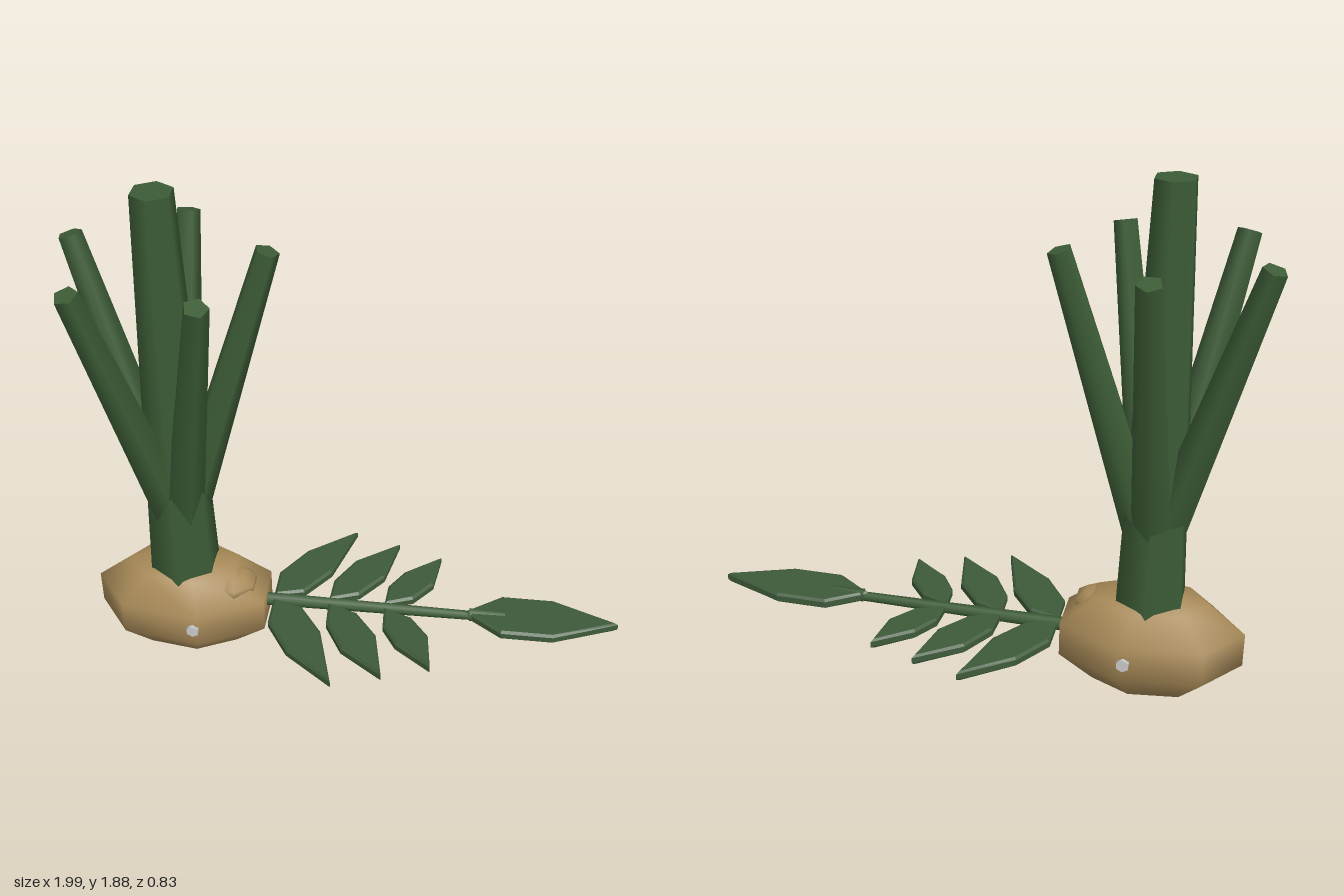
import * as THREE from 'three';

const mat = (color) => new THREE.MeshStandardMaterial({ color });

export function createModel() {
  const group = new THREE.Group();
  const brown = mat(0xa88a58), green = mat(0x3c5c36), leafGreen = mat(0x3e5a3a), grey = mat(0xcccccc);
  const CX = -0.62; // axis of bulb and stem

  const add = (name, geometry, material, x = 0, y = 0, z = 0) => {
    const mesh = new THREE.Mesh(geometry, material);
    mesh.name = name;
    mesh.position.set(x, y, z);
    group.add(mesh);
    return mesh;
  };

  // Tapered rod between two points
  const rod = (name, a, b, ra, rb, sides, material, spin = 0) => {
    const dir = b.clone().sub(a);
    const geo = new THREE.CylinderGeometry(rb, ra, dir.length(), sides).rotateY(spin);
    const mesh = add(name, geo, material);
    mesh.position.copy(a).add(b).multiplyScalar(0.5);
    mesh.quaternion.setFromUnitVectors(new THREE.Vector3(0, 1, 0), dir.normalize());
    return mesh;
  };

  // Bulb body with a small lump near its tail end
  add('bulb', new THREE.SphereGeometry(1, 7, 5).scale(0.357, 0.207, 0.22), brown, CX, 0.208, 0);
  add('bulbLump', new THREE.SphereGeometry(1, 7, 5).scale(0.1, 0.055, 0.09), brown, -0.44, 0.315, 0.03);

  // Eyes on both sides
  for (const s of [1, -1]) {
    add(s > 0 ? 'frontEye' : 'backEye',
      new THREE.CylinderGeometry(0.024, 0.024, 0.04, 6).rotateX(Math.PI / 2), grey, -0.56, 0.215, s * 0.195);
  }

  // Upright stem
  rod('stem', new THREE.Vector3(CX, 0.3, 0), new THREE.Vector3(CX, 1.885, 0), 0.134, 0.073, 6, green);

  // Five stalks fanning out of the stem
  for (let i = 0; i < 5; i++) {
    const a = THREE.MathUtils.degToRad(-14.5 + 72 * i);
    const c = Math.cos(a), s = Math.sin(a);
    rod('stalk', new THREE.Vector3(CX, 0.53, 0), new THREE.Vector3(CX + c * 0.352, 1.653, s * 0.352),
      0.078, 0.043, 5, green, Math.PI / 2 - a);
  }

  // Tail stem
  rod('tailStem', new THREE.Vector3(-0.38, 0.215, 0), new THREE.Vector3(0.5, 0.216, 0), 0.026, 0.017, 6, green);

  // Flat bevelled leaf outlined in the ground plane
  const leaf = (name, points, y) => {
    const shape = new THREE.Shape(points.map(([x, z]) => new THREE.Vector2(x, z)));
    const geo = new THREE.ExtrudeGeometry(shape, {
      depth: 0.022, bevelEnabled: true, bevelThickness: 0.008, bevelSize: 0.01, bevelOffset: -0.01, bevelSegments: 1,
    });
    geo.translate(0, 0, -0.011).rotateX(Math.PI / 2);
    return add(name, geo, leafGreen, 0, y, 0);
  };

  // Three mirrored pairs of side leaves
  const sideLeaves = [
    [[-0.29, 0.01], [-0.29, 0.14], [-0.2, 0.28], [-0.02, 0.415], [-0.09, 0.165], [-0.18, 0.04]],
    [[-0.08, 0.01], [-0.075, 0.12], [-0.005, 0.245], [0.155, 0.36], [0.115, 0.16], [0.03, 0.05]],
    [[0.13, 0.01], [0.135, 0.11], [0.19, 0.2], [0.325, 0.3], [0.305, 0.14], [0.235, 0.05]],
  ];
  for (const points of sideLeaves) {
    for (const s of [1, -1]) leaf('sideLeaf', points.map(([x, z]) => [x, z * s]), 0.214);
  }

  // Leaf at the tail tip, with its midrib
  leaf('tipLeaf', [[0.43, 0], [0.57, 0.1], [0.76, 0.1], [1, 0], [0.76, -0.1], [0.57, -0.1]], 0.219);
  rod('tipMidrib', new THREE.Vector3(0.45, 0.22, 0), new THREE.Vector3(0.78, 0.22, 0), 0.024, 0.016, 6, green);

  return group;
}
